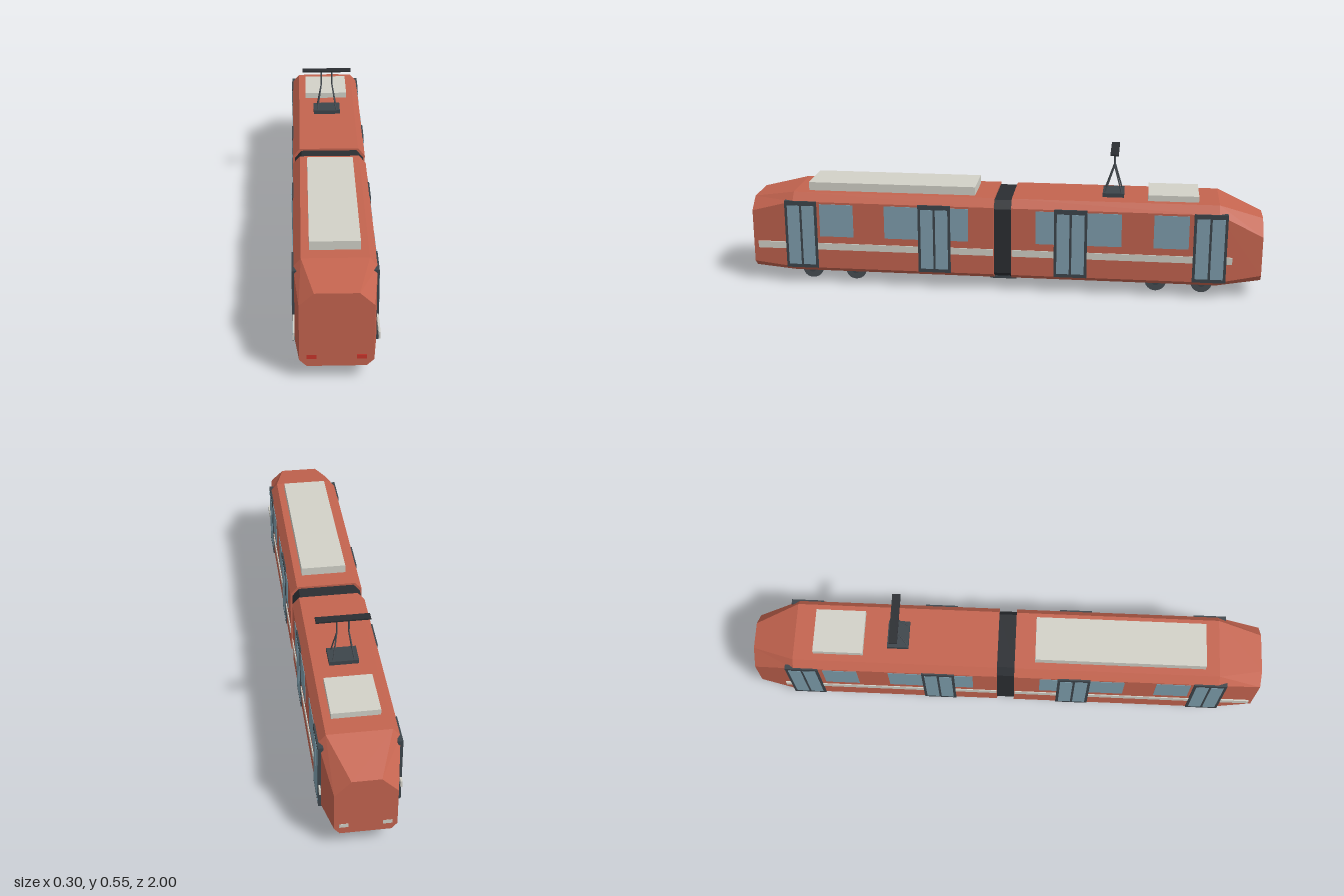
import * as THREE from 'three';

const mat = (color, extra = {}) => new THREE.MeshStandardMaterial({ color, ...extra });
const RED = mat(0xc4644f, { flatShading: true });
const DARK = mat(0x2b2e32, { flatShading: true });
const FRAME = mat(0x3d454b);
const GLASS = mat(0x7f9fae);
const PALE = mat(0xd2d1c8);
const TAIL = mat(0xc8352b);
const METAL = mat(0x474e54);

// Eight-sided cross-section, anticlockwise seen from +z
function section(z, half, top, topHalf, shoulder, bottom, bottomHalf, sill) {
  return [
    [-bottomHalf, bottom], [bottomHalf, bottom], [half, sill], [half, shoulder],
    [topHalf, top], [-topHalf, top], [-half, shoulder], [-half, sill],
  ].map(([x, y]) => new THREE.Vector3(x, y, z));
}

// Closed faceted skin through sections listed from low z to high z
function loft(sections) {
  const v = [];
  const tri = (...p) => p.forEach((q) => v.push(q.x, q.y, q.z));
  const n = sections[0].length;
  for (let s = 0; s + 1 < sections.length; s++) {
    const a = sections[s], b = sections[s + 1];
    for (let i = 0; i < n; i++) {
      const j = (i + 1) % n;
      tri(a[i], a[j], b[j]);
      tri(a[i], b[j], b[i]);
    }
  }
  const first = sections[0], last = sections[sections.length - 1];
  for (let i = 1; i + 1 < n; i++) {
    tri(first[0], first[i + 1], first[i]);
    tri(last[0], last[i], last[i + 1]);
  }
  const g = new THREE.BufferGeometry();
  g.setAttribute('position', new THREE.Float32BufferAttribute(v, 3));
  g.computeVertexNormals();
  return g;
}

export function createModel() {
  const tram = new THREE.Group();
  tram.name = 'tram';

  const add = (name, geometry, material, parent = tram) => {
    const m = new THREE.Mesh(geometry, material);
    m.name = name;
    parent.add(m);
    return m;
  };
  // Box given by its limits on each axis
  const box = (name, material, [x0, x1], [y0, y1], [z0, z1], parent) => {
    const m = add(name, new THREE.BoxGeometry(x1 - x0, y1 - y0, Math.abs(z1 - z0)), material, parent);
    m.position.set((x0 + x1) / 2, (y0 + y1) / 2, (z0 + z1) / 2);
    return m;
  };
  // Round rod between two points
  const rod = (name, a, b, r, material, parent) => {
    const p = new THREE.Vector3(...a), q = new THREE.Vector3(...b);
    const d = q.clone().sub(p);
    const m = add(name, new THREE.CylinderGeometry(r, r, d.length(), 8), material, parent);
    m.position.copy(p).add(q).multiplyScalar(0.5);
    m.quaternion.setFromUnitVectors(new THREE.Vector3(0, 1, 0), d.normalize());
  };

  // Two car bodies with tapered outer ends
  const full = (z) => section(z, 0.143, 0.37, 0.116, 0.338, 0.05, 0.127, 0.066);
  add('frontBody', loft([
    full(0.034), full(0.83),
    section(1, 0.125, 0.336, 0.075, 0.29, 0.055, 0.1, 0.079),
  ]), RED);
  add('rearBody', loft([
    section(-1, 0.11, 0.305, 0.052, 0.245, 0.066, 0.09, 0.09),
    full(-0.83), full(-0.034),
  ]), RED);

  // Flexible joint and its turntable plate
  add('joint', loft([-0.036, 0.036].map((z) =>
    section(z, 0.135, 0.362, 0.11, 0.331, 0.054, 0.12, 0.07))), DARK);
  box('jointPlate', FRAME, [-0.11, 0.11], [0.039, 0.05], [-0.052, 0.052]);

  // Doors, windows and waist stripe on both sides
  const doors = [0.799, 0.268, -0.265, -0.799];
  const windows = [[0.59, 0.724], [0.134, 0.466], [-0.461, -0.129], [-0.718, -0.584]];
  const stripes = [[0.036, 0.976], [-0.885, -0.036]];
  for (const s of [1, -1]) {
    const side = new THREE.Group();
    side.name = s > 0 ? 'leftSide' : 'rightSide';
    tram.add(side);
    const span = (a, b) => (s > 0 ? [a, b] : [-b, -a]);
    for (const z of doors) {
      const door = new THREE.Group();
      door.name = 'door';
      side.add(door);
      box('doorFrame', FRAME, span(0.128, 0.1472), [0.066, 0.34], [z - 0.064, z + 0.064], door);
      for (const k of [-1, 1]) {
        box('doorPane', GLASS, span(0.14, 0.1482), [0.08, 0.322],
          [z + k * 0.029 - 0.0245, z + k * 0.029 + 0.0245], door);
      }
    }
    for (const w of windows) box('window', GLASS, span(0.138, 0.1448), [0.198, 0.33], w, side);
    for (const w of stripes) box('stripe', PALE, span(0.14, 0.1462), [0.143, 0.17], w, side);

    // Lamps at both ends
    box('tailLight', TAIL, span(0.067, 0.1), [0.083, 0.099], [0.99, 1.001]);
    box('headLight', PALE, span(0.06, 0.092), [0.094, 0.11], [-1.001, -0.99]);
  }

  // Roof equipment
  box('frontRoofUnit', PALE, [-0.088, 0.088], [0.365, 0.403], [0.113, 0.775]);
  box('rearRoofUnit', PALE, [-0.088, 0.088], [0.365, 0.393], [-0.752, -0.558]);

  // Current collector: base, bent legs and contact bar
  const collector = new THREE.Group();
  collector.name = 'currentCollector';
  tram.add(collector);
  box('collectorBase', FRAME, [-0.055, 0.055], [0.368, 0.386], [-0.465, -0.382], collector);
  for (const x of [-1, 1]) {
    const knee = [x * 0.022, 0.49, -0.425];
    for (const z of [-0.455, -0.39]) rod('collectorLeg', [x * 0.039, 0.384, z], knee, 0.0028, METAL, collector);
    rod('collectorPost', knee, [x * 0.022, 0.55, -0.425], 0.003, METAL, collector);
  }
  box('contactBar', DARK, [-0.1, 0.1], [0.547, 0.553], [-0.441, -0.409], collector);

  // Wheelsets
  for (const z of [0.777, 0.6, -0.597, -0.775]) {
    const set = new THREE.Group();
    set.name = 'wheelset';
    set.position.set(0, 0.042, z);
    tram.add(set);
    const disc = (name, x, r, w, material) => {
      const m = add(name, new THREE.CylinderGeometry(r, r, w, 24), material, set);
      m.rotation.z = Math.PI / 2;
      m.position.x = x;
    };
    disc('axle', 0, 0.007, 0.16, METAL);
    for (const x of [-0.081, 0.079]) {
      disc('wheel', x, 0.038, 0.014, METAL);
      disc('wheelFlange', x - 0.006, 0.042, 0.004, METAL);
      disc('wheelHub', x, 0.015, 0.02, FRAME);
    }
  }
  return tram;
}
